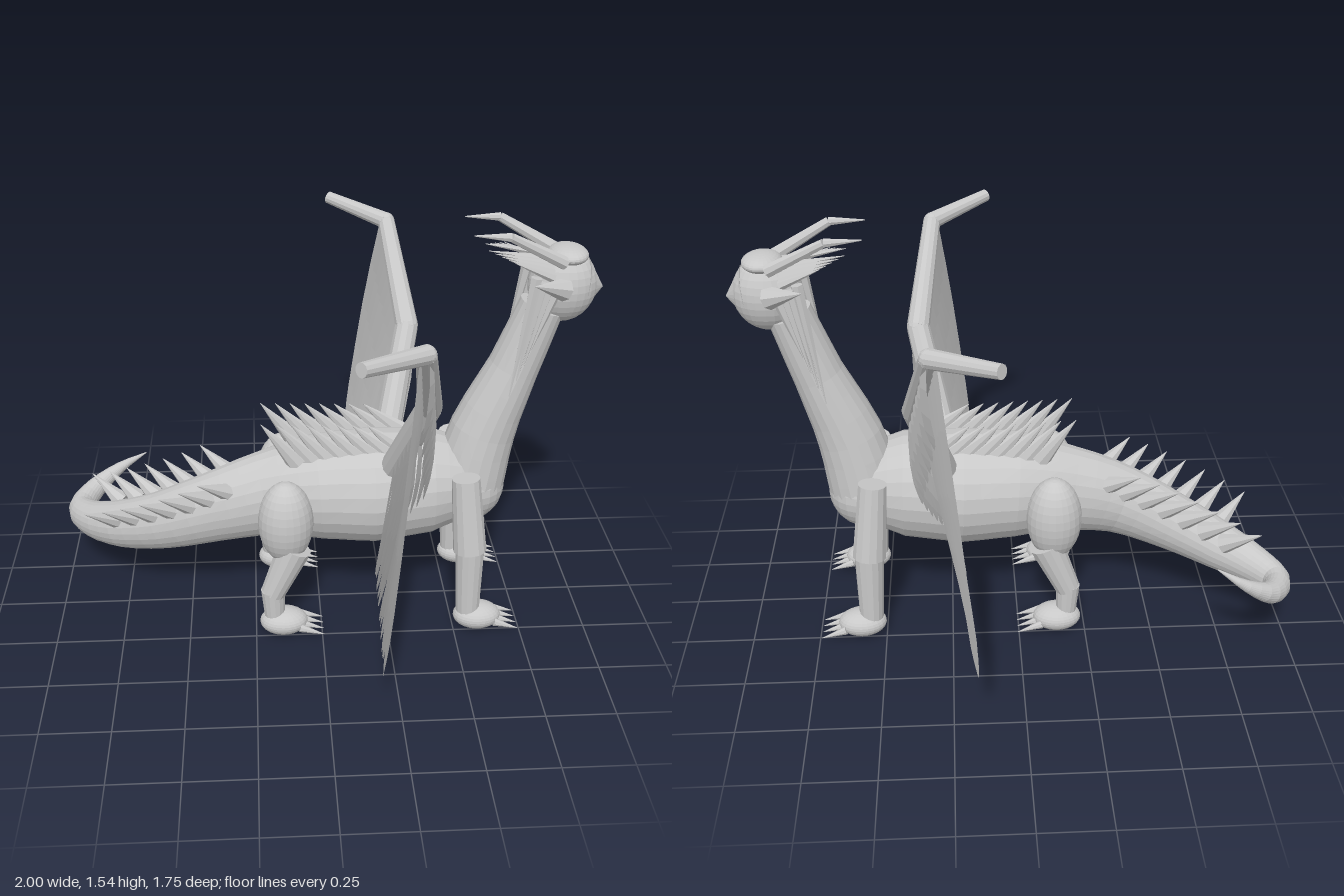
import * as THREE from 'three';

const V = (x, y, z) => new THREE.Vector3(x, y, z);
const grey = new THREE.MeshStandardMaterial({ color: 0xc8c8c8, flatShading: true, side: THREE.DoubleSide });
grey.name = 'stone grey';

function mesh(name, geometry, parent) {
  const m = new THREE.Mesh(geometry, grey);
  m.name = name;
  parent.add(m);
  return m;
}

function ellipsoid(name, c, rx, ry, rz, parent, w = 24, h = 16) {
  const m = mesh(name, new THREE.SphereGeometry(1, w, h), parent);
  m.position.copy(c);
  m.scale.set(rx, ry, rz);
  return m;
}

// Cone or frustum running from a to b
function rod(name, a, b, ra, rb, parent, sides = 10) {
  const d = b.clone().sub(a);
  const m = mesh(name, new THREE.CylinderGeometry(rb, ra, d.length(), sides), parent);
  m.position.copy(a).addScaledVector(d, 0.5);
  m.quaternion.setFromUnitVectors(V(0, 1, 0), d.normalize());
  return m;
}

// Elliptical tube through stations [x, y, z, radius along up, radius sideways]
function loft(stations, up, steps, sides) {
  const curve = new THREE.CatmullRomCurve3(stations.map(s => V(s[0], s[1], s[2])));
  const n = (stations.length - 1) * steps;
  const pos = [], idx = [];
  for (let i = 0; i <= n; i++) {
    const f = i / steps, k = Math.min(Math.floor(f), stations.length - 2), u = f - k;
    const c = curve.getPoint(i / n), t = curve.getTangent(i / n);
    const side = V(0, 0, 0).crossVectors(t, up).normalize();
    const nor = V(0, 0, 0).crossVectors(side, t);
    const ra = THREE.MathUtils.lerp(stations[k][3], stations[k + 1][3], u);
    const rb = THREE.MathUtils.lerp(stations[k][4], stations[k + 1][4], u);
    for (let j = 0; j < sides; j++) {
      const a = (j / sides) * Math.PI * 2;
      const p = c.clone().addScaledVector(nor, Math.cos(a) * ra).addScaledVector(side, Math.sin(a) * rb);
      pos.push(p.x, p.y, p.z);
      if (i < n) {
        const q = i * sides + j, r = i * sides + (j + 1) % sides;
        idx.push(q, r, q + sides, r, r + sides, q + sides);
      }
    }
  }
  for (const [row, s] of [[0, stations[0]], [n, stations.at(-1)]]) {
    const centre = pos.length / 3;
    pos.push(s[0], s[1], s[2]);
    for (let j = 0; j < sides; j++) {
      const q = row * sides + j, r = row * sides + (j + 1) % sides;
      row ? idx.push(centre, q, r) : idx.push(centre, r, q);
    }
  }
  return build(pos, idx);
}

function build(pos, idx) {
  const g = new THREE.BufferGeometry();
  g.setAttribute('position', new THREE.Float32BufferAttribute(pos, 3));
  g.setIndex(idx);
  g.computeVertexNormals();
  return g;
}

// Flat feather along a bowed path, with a width profile of [distance, width] pairs
function feather(base, ctrl, tip, width, profile) {
  const curve = new THREE.QuadraticBezierCurve3(base, ctrl, tip);
  const pos = [], idx = [];
  profile.forEach(([u, w], i) => {
    const p = curve.getPoint(u), t = curve.getTangent(u);
    const d = V(0.4, -t.z, t.y).normalize().multiplyScalar(width * w / 2);
    pos.push(p.x - d.x, p.y - d.y, p.z - d.z, p.x + d.x, p.y + d.y, p.z + d.z);
    if (i) idx.push(2 * i - 2, 2 * i - 1, 2 * i, 2 * i - 1, 2 * i + 1, 2 * i);
  });
  return build(pos, idx);
}

// One wing on the +z side
function makeWing() {
  const wing = new THREE.Group();
  wing.name = 'wing';
  const arm = [V(0.26, 0.64, 0.11), V(0.355, 1.02, 0.34), V(0.295, 1.345, 0.62), V(0.08, 1.385, 0.8)];
  const radii = [0.05, 0.044, 0.033, 0.024];
  for (let i = 0; i < 3; i++) {
    rod('wingArm', arm[i], arm[i + 1], radii[i], radii[i + 1], wing, 12);
    if (i) ellipsoid('wingJoint', arm[i], radii[i], radii[i], radii[i], wing, 12, 8);
  }
  const onArm = t => t < 0.5 ? arm[0].clone().lerp(arm[1], t * 2) : arm[1].clone().lerp(arm[2], t * 2 - 1);

  // Long flight feathers
  const longProfile = [[0, 0.6], [0.2, 0.85], [0.4, 1], [0.6, 1], [0.8, 1], [0.9, 0.9], [0.95, 0.6], [1, 0.03]];
  const count = 16;
  for (let i = 0; i < count; i++) {
    const t = i / (count - 1);
    const base = onArm(0.14 + 0.85 * t);
    base.x -= 0.015;
    const tip = V(0.2 - 0.035 * t, 0.25 + 0.07 * t + 0.02 * Math.sin(i * 2.4), 0.22 + 0.635 * t);
    const ctrl = base.clone().lerp(tip, 0.5);
    ctrl.z += 0.03 + 0.055 * t;
    mesh('flightFeather', feather(base, ctrl, tip, 0.068, longProfile), wing);
  }

  // Short covering feathers on the leading face
  const shortProfile = [[0, 0.5], [0.3, 0.75], [0.6, 0.95], [0.82, 1], [0.92, 0.65], [1, 0.15]];
  for (let i = 0; i < 11; i++) {
    const t = i / 10;
    const base = onArm(0.16 + 0.82 * t);
    base.x += 0.015;
    const tip = base.clone().add(V(-0.025, -0.28 - 0.06 * Math.sin(t * Math.PI), 0.03 + 0.02 * t));
    const ctrl = base.clone().lerp(tip, 0.5).add(V(0.025, 0, 0.015));
    mesh('covertFeather', feather(base, ctrl, tip, 0.085, shortProfile), wing);
  }
  return wing;
}

function makeFoot(x, z, parent) {
  ellipsoid('foot', V(x, 0.06, z), 0.09, 0.05, 0.068, parent);
  for (let i = 0; i < 4; i++) {
    const dz = (i - 1.5) * 0.032;
    rod('claw', V(x + 0.06, 0.055, z + dz), V(x + 0.15, 0.028, z + dz * 1.15), 0.016, 0.001, parent, 8);
  }
}

// Everything that is mirrored, for the +z side
function makeSide() {
  const g = new THREE.Group();
  // Front leg
  rod('frontUpperLeg', V(0.525, 0.64, 0.18), V(0.55, 0.35, 0.212), 0.052, 0.062, g, 14);
  rod('frontLowerLeg', V(0.55, 0.37, 0.212), V(0.555, 0.07, 0.22), 0.055, 0.044, g, 14);
  makeFoot(0.59, 0.22, g);
  // Hind leg
  ellipsoid('thigh', V(-0.132, 0.477, 0.185), 0.102, 0.165, 0.092, g);
  rod('shin', V(-0.1, 0.38, 0.205), V(-0.185, 0.185, 0.215), 0.064, 0.046, g, 14);
  rod('ankle', V(-0.185, 0.2, 0.215), V(-0.178, 0.06, 0.22), 0.045, 0.037, g, 14);
  makeFoot(-0.145, 0.22, g);
  // Horn with one bend
  const bend = V(0.64, 1.53, 0.108);
  rod('hornBase', V(0.84, 1.42, 0.07), bend, 0.024, 0.016, g, 8);
  rod('hornTip', bend, V(0.515, 1.535, 0.1), 0.016, 0.002, g, 8);
  // Head spikes, ear and hanging neck strands
  for (let i = 0; i < 5; i++) {
    rod('headSpike', V(0.8, 1.42 - i * 0.012, 0.03 + i * 0.013), V(0.58 + i * 0.02, 1.457 - i * 0.005, 0.035 + i * 0.018), 0.018, 0.001, g, 6);
  }
  rod('ear', V(0.84, 1.33, 0.085), V(0.72, 1.375, 0.165), 0.042, 0.001, g, 8);
  for (let i = 0; i < 4; i++) {
    rod('neckStrand', V(0.745 + i * 0.022, 1.37 - i * 0.015, 0.075 + i * 0.004),
      V(0.675 + i * 0.022, 0.93 + i * 0.06, 0.104 - i * 0.002), 0.022, 0.002, g, 6);
  }
  // Back spines
  for (let i = 0; i < 8; i++) {
    const x = -0.08 + i * 0.055;
    rod('backSpine', V(x, 0.665 + i * 0.005, 0.085), V(x - 0.135, 0.83 - i * 0.002, 0.085), 0.042, 0.001, g, 8).scale.z = 0.55;
  }
  g.add(makeWing());
  return g;
}

export function createModel() {
  const model = new THREE.Group();
  model.name = 'dragon';

  // Tail and trunk in one tapering tube, the tail tip curling up
  mesh('trunkAndTail', loft([
    [-0.69, 0.42, -0.46, 0.002, 0.002], [-0.8, 0.35, -0.467, 0.022, 0.022], [-0.9, 0.285, -0.42, 0.042, 0.04],
    [-0.95, 0.253, -0.31, 0.06, 0.052], [-0.89, 0.26, -0.215, 0.075, 0.067], [-0.77, 0.293, -0.125, 0.095, 0.087],
    [-0.6, 0.355, -0.045, 0.115, 0.098], [-0.4, 0.435, 0, 0.14, 0.108], [-0.2, 0.49, 0, 0.17, 0.135],
    [0, 0.517, 0, 0.205, 0.192], [0.2, 0.52, 0, 0.22, 0.213], [0.42, 0.533, 0, 0.203, 0.19],
    [0.56, 0.53, 0, 0.145, 0.14], [0.66, 0.53, 0, 0.06, 0.06]], V(0, 1, 0), 3, 24), model);

  // Chest and neck
  ellipsoid('chest', V(0.56, 0.52, 0), 0.142, 0.15, 0.142, model);
  mesh('neck', loft([[0.56, 0.52, 0, 0.14, 0.14], [0.61, 0.75, 0, 0.122, 0.118],
    [0.705, 1.0, 0, 0.092, 0.1], [0.79, 1.24, 0, 0.08, 0.09]], V(1, 0, 0), 3, 20), model);

  // Head, pointed snout and brow
  ellipsoid('head', V(0.855, 1.315, 0), 0.122, 0.133, 0.1, model);
  rod('snout', V(0.93, 1.312, 0), V(1, 1.305, 0), 0.104, 0.001, model, 20).scale.z = 0.76;
  ellipsoid('brow', V(0.865, 1.43, 0), 0.07, 0.032, 0.088, model);

  // Mirrored parts
  for (const s of [1, -1]) {
    const side = makeSide();
    side.name = s > 0 ? 'leftHalf' : 'rightHalf';
    side.scale.z = s;
    model.add(side);

    // Tail spines follow the bend of the tail
    for (let i = 0; i < 7; i++) {
      const x = -0.33 - i * 0.073, bend = -0.13 * (i / 6) ** 2;
      const y = 0.535 - i * 0.031;
      rod('tailSpine', V(x, y, bend + s * 0.065), V(x - 0.12, y + 0.085, bend + i * 0.001 + s * 0.152), 0.039, 0.001, model, 8);
    }
  }
  return model;
}
